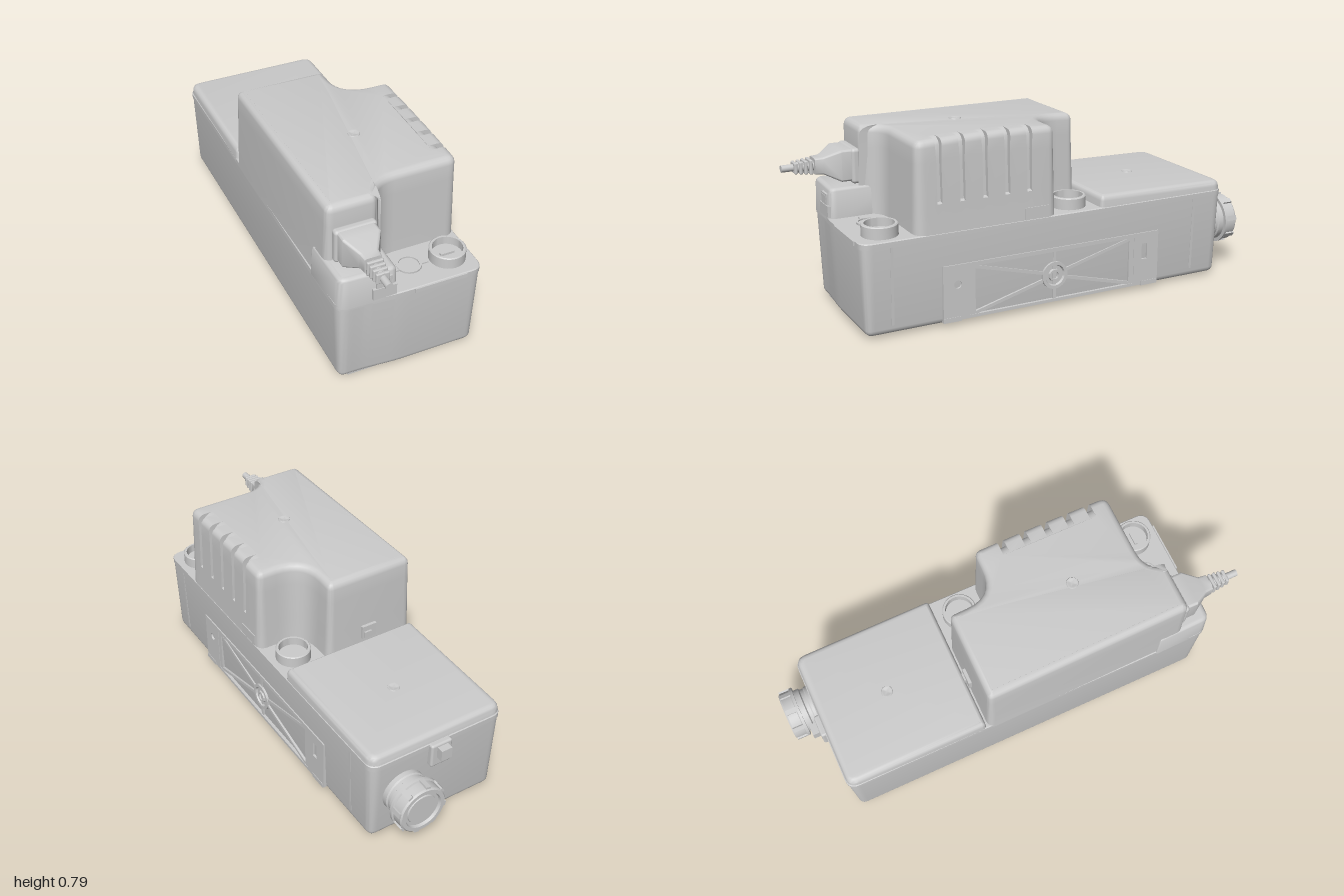
import * as THREE from 'three';
import { toCreasedNormals } from 'three/addons/utils/BufferGeometryUtils.js';
import { RoundedBoxGeometry } from 'three/addons/geometries/RoundedBoxGeometry.js';

const grey = new THREE.MeshStandardMaterial({ color: 0xcccccc, side: THREE.DoubleSide });

// Outline in plan from corners [x, z, radius], running right along the back first
function roundedOutline(corners) {
  const out = [], n = corners.length;
  corners.forEach(([x, z, r], i) => {
    const c = new THREE.Vector2(x, z);
    const toward = (k) => {
      const q = corners[(k + n) % n];
      return new THREE.Vector2(q[0], q[1]).sub(c).setLength(r).add(c);
    };
    if (r === 0) out.push(c);
    else out.push(...new THREE.QuadraticBezierCurve(toward(i - 1), c, toward(i + 1)).getPoints(7));
  });
  return out;
}

// Shrinks an outline by d along its mitred normals
function inset(pts, d) {
  const n = pts.length;
  return pts.map((p, i) => {
    const a = p.clone().sub(pts[(i + n - 1) % n]).normalize();
    const b = pts[(i + 1) % n].clone().sub(p).normalize();
    const n1 = new THREE.Vector2(-a.y, a.x), m = new THREE.Vector2(-b.y, b.x).add(n1).normalize();
    return p.clone().addScaledVector(m, d / Math.max(0.5, m.dot(n1)));
  });
}

// Skin through stacked rings [{ pts, y }], capped at both ends
function loft(rings, heightRule = (x, y) => y) {
  const pos = [], idx = [], n = rings[0].pts.length;
  rings.forEach(({ pts, y }) => pts.forEach((p) => pos.push(p.x, heightRule(p.x, y, p.y), p.y)));
  for (let r = 0; r < rings.length - 1; r++) {
    for (let i = 0; i < n; i++) {
      const a = r * n + i, b = r * n + (i + 1) % n;
      idx.push(a, a + n, b, b, a + n, b + n);
    }
  }
  [[0, -1], [rings.length - 1, 1]].forEach(([r, up]) => {
    const p = rings[r].pts;
    THREE.ShapeUtils.triangulateShape(p.map((v) => v.clone()), []).forEach(([a, b, c]) => {
      const ny = (p[b].y - p[a].y) * (p[c].x - p[a].x) - (p[b].x - p[a].x) * (p[c].y - p[a].y);
      const t = ny * up > 0 ? [a, b, c] : [a, c, b];
      idx.push(...t.map((k) => k + r * n));
    });
  });
  const g = new THREE.BufferGeometry();
  g.setAttribute('position', new THREE.Float32BufferAttribute(pos, 3));
  g.setIndex(idx);
  return toCreasedNormals(g, 0.6);
}

// Quarter-round levels [y, inset] that finish a top edge
const topEdge = (y, r, base) => [0, 1, 2, 3, 4].map((k) => {
  const a = k * Math.PI / 8;
  return [y - r + r * Math.sin(a), base + r * (1 - Math.cos(a))];
});

export function createModel() {
  const model = new THREE.Group();
  const add = (name, geo, x = 0, y = 0, z = 0, parent = model) => {
    const m = new THREE.Mesh(geo, grey);
    m.name = name;
    m.position.set(x, y, z);
    parent.add(m);
    return m;
  };
  const box = (name, w, h, d, x, y, z, parent) => add(name, new THREE.BoxGeometry(w, h, d), x, y, z, parent);
  const lathe = (pts, seg = 40) =>
    toCreasedNormals(new THREE.LatheGeometry(pts.map((p) => new THREE.Vector2(...p)), seg), 0.6);
  const stack = (outline, levels) => levels.map(([y, d]) => ({ pts: inset(outline, d), y }));

  // Tank, tapering down to a rounded base
  const tank = roundedOutline([[-0.317, -0.87, 0.05], [0.315, -0.87, 0.05], [0.315, 0.845, 0.05],
    [-0.05, 0.845, 0.04], [-0.2, 0.832, 0.04], [-0.31, 0.832, 0.05]]);
  const base = topEdge(0, 0.025, 0.015).reverse().map(([y, d]) => [0.012 - y, d]);
  add('tank', loft(stack(tank, [...base, [0.38, 0.003], [0.38, 0], [0.402, 0], [0.406, 0.004]])));

  // Rear lid
  const lid = roundedOutline([[-0.315, -0.868, 0.05], [0.314, -0.868, 0.05], [0.314, -0.232, 0.02], [-0.315, -0.232, 0.02]]);
  add('rearLid', loft(stack(lid, [[0.39, 0], ...topEdge(0.458, 0.025, 0.003)]),
    (x, y, z) => (y > 0.42 ? y + 0.02 * (z + 0.23) : y)));

  // Pump cover with cut-back corners and five cooling slots
  const cover = roundedOutline([[-0.318, -0.225, 0.035], [0.1, -0.225, 0.035], [0.1, -0.018, 0.12],
    [0.314, -0.018, 0.04], [0.314, 0.617, 0.05], [-0.07, 0.617, 0.1], [-0.075, 0.703, 0.035], [-0.305, 0.703, 0.04]]);
  const slotRing = (d, depth, half) => {
    const pts = inset(cover, d);
    const i = pts.findIndex((p, k) => p.x > 0.2 && pts[k + 1] && pts[k + 1].y - p.y > 0.3);
    const x = pts[i].x, slots = [];
    for (let z = 0.11; z < 0.52; z += 0.1) {
      slots.push([x, z - half], [x - depth, z - half], [x - depth, z + half], [x, z + half]);
    }
    pts.splice(i + 1, 0, ...slots.map((s) => new THREE.Vector2(...s)));
    return pts;
  };
  const coverLevels = [[0.39, 0, 0], [0.525, 0.004, 0], [0.53, 0.004, 0.018], [0.7, 0.009, 0.022],
    ...topEdge(0.791, 0.03, 0.01).map(([y, d], k) => [y, d, 0.026 + 0.004 * k])];
  add('pumpCover', loft(coverLevels.map(([y, d, s]) => ({ y, pts: slotRing(d, s, 0.011 + (y > 0.74 ? 0.003 : 0)) })),
    (x, y, z) => (y > 0.6 ? y - 0.07 * (z - 0.27) ** 2 : y)));
  box('sideWindowFrame', 0.008, 0.05, 0.11, 0.312, 0.431, 0.077);
  box('rearClip', 0.07, 0.06, 0.02, -0.1, 0.485, -0.225);
  box('rearClipTab', 0.035, 0.03, 0.03, -0.09, 0.475, -0.228);

  // Raised column under the power inlet, with its latch
  const column = roundedOutline([[-0.315, 0.58, 0.01], [-0.058, 0.58, 0.01], [-0.058, 0.842, 0.035], [-0.308, 0.832, 0.045]]);
  add('inletColumn', loft(stack(column, [[0.39, 0], ...topEdge(0.532, 0.02, 0.005)])));
  box('latchBase', 0.1, 0.05, 0.014, -0.12, 0.435, 0.84);
  box('latch', 0.066, 0.05, 0.012, -0.122, 0.482, 0.838);
  box('latchKey', 0.05, 0.03, 0.016, -0.122, 0.485, 0.838);

  // Power inlet, tapered plug, strain relief and cable
  const plug = new THREE.Group();
  plug.name = 'powerPlug';
  plug.position.set(-0.185, 0.611, 0);
  model.add(plug);
  add('inletFrame', new RoundedBoxGeometry(0.18, 0.15, 0.04, 3, 0.015), 0, -0.004, 0.705, plug);
  const sections = [[0.71, 0.08, 0.067], [0.765, 0.08, 0.067], [0.83, 0.04, 0.036], [0.865, 0.036, 0.034]];
  const plugBody = loft(sections.map(([y, w, h]) => ({
    y, pts: roundedOutline([[-w, -h, 0.012], [w, -h, 0.012], [w, h, 0.012], [-w, h, 0.012]]) })));
  add('plugBody', plugBody, 0, 0, 0, plug).rotation.x = Math.PI / 2;
  for (let i = 0; i < 4; i++) {
    add('strainRelief', new RoundedBoxGeometry(0.068 - i * 0.004, 0.062 - i * 0.005, 0.014, 2, 0.005), 0, 0, 0.88 + i * 0.021, plug);
  }
  add('reliefCore', new THREE.CylinderGeometry(0.022, 0.022, 0.1, 20), 0, 0, 0.9, plug).rotation.x = Math.PI / 2;
  add('cable', new THREE.CylinderGeometry(0.015, 0.015, 0.14, 20), 0, 0, 0.93, plug).rotation.x = Math.PI / 2;
  box('inletTab', 0.05, 0.018, 0.05, -0.208, 0.526, 0.73);

  // Open ports on the deck and the flat plug beside the front one
  [[0.73, true], [-0.127, false]].forEach(([z, slotted]) => {
    add('port', lathe([[0.075, 0.39], [0.075, 0.452], [0.071, 0.456], [0.062, 0.456], [0.062, 0.42], [0, 0.42]]), 0.213, 0, z);
    if (slotted) box('portSlot', 0.06, 0.012, 0.012, 0.213, 0.424, z);
  });
  add('deckPlug', lathe([[0.052, 0.4], [0.052, 0.414], [0.042, 0.414], [0.042, 0.408], [0, 0.408]]), 0.05, 0, 0.715);
  for (const s of [-1, 1]) box('deckPlugTab', 0.03, 0.012, 0.035, 0.05 + s * 0.064, 0.406, 0.715);
  box('frontLip', 0.23, 0.018, 0.01, 0.125, 0.394, 0.846);

  // Mounting bracket: framed plate, diagonal ribs and hub on the left side
  const bracket = new THREE.Group();
  bracket.name = 'mountingBracket';
  bracket.position.set(0.291, 0, 0);
  bracket.rotation.y = Math.PI / 2; // local x runs toward -z
  model.add(bracket);
  const rect = (Kind, x0, y0, x1, y1) => new Kind([[x0, y0], [x1, y0], [x1, y1], [x0, y1]].map((p) => new THREE.Vector2(...p)));
  const plate = rect(THREE.Shape, -0.505, 0.022, 0.53, 0.262);
  plate.holes.push(rect(THREE.Path, -0.385, 0.035, 0.405, 0.245), rect(THREE.Path, 0.445, 0.14, 0.473, 0.212));
  plate.holes.push(new THREE.Path().absarc(-0.44, 0.177, 0.017, 0, Math.PI * 2));
  add('bracketPlate', new THREE.ExtrudeGeometry(plate, { depth: 0.022, bevelEnabled: false }), 0, 0, 0, bracket);
  for (const sx of [-1, 1]) {
    for (const sy of [-1, 1]) {
      box('diagonalRib', 0.37, 0.014, 0.02, 0.01 + sx * 0.225, 0.14 + sy * 0.062, 0.01, bracket)
        .rotation.z = sx * sy * Math.atan2(0.09, 0.34);
    }
    box('endRib', 0.025, 0.21, 0.02, 0.01 + sx * 0.383, 0.14, 0.01, bracket);
    box('footTab', 0.08, 0.02, 0.024, 0.01 + sx * 0.475, 0.028, 0.012, bracket);
  }
  box('verticalRib', 0.014, 0.21, 0.018, 0.01, 0.14, 0.009, bracket);
  add('hub', lathe([[0.06, 0], [0.06, 0.024], [0.046, 0.024], [0.042, 0.014], [0.028, 0.014], [0.026, 0.024],
    [0.017, 0.024], [0.017, 0.005], [0, 0.005]]), 0.01, 0.14, 0, bracket).rotation.x = Math.PI / 2;

  // Slim upright ribs beside the bracket
  for (const z of [0.72, -0.715]) box('sideRib', 0.01, 0.33, 0.012, 0.303, 0.215, z).rotation.z = -0.033;

  // Screw cap on the rear outlet
  const outlet = new THREE.Group();
  outlet.name = 'rearOutlet';
  outlet.position.set(0.155, 0.217, -0.85);
  outlet.rotation.x = -Math.PI / 2;
  model.add(outlet);
  add('neck', lathe([[0.095, 0], [0.095, 0.035], [0.09, 0.04], [0.09, 0.055], [0.097, 0.06], [0.097, 0.09]]), 0, 0, 0, outlet);
  add('cap', lathe([[0, 0.085], [0.113, 0.085], [0.113, 0.097], [0.106, 0.1], [0.106, 0.143], [0.1, 0.15], [0.084, 0.15],
    [0.08, 0.138], [0.068, 0.138], [0.066, 0.144], [0, 0.144]]), 0, 0, 0, outlet);
  for (let i = 0; i < 8; i++) {
    const a = i * Math.PI / 4 + 0.2;
    box('gripRib', 0.018, 0.05, 0.022, 0.104 * Math.cos(a), 0.12, 0.104 * Math.sin(a), outlet).rotation.y = -a;
  }

  // Rear connector
  add('rearConnector', new RoundedBoxGeometry(0.1, 0.11, 0.04, 2, 0.01), -0.005, 0.35, -0.87);
  box('connectorSocket', 0.05, 0.05, 0.06, -0.005, 0.368, -0.89);

  // Moulding marks on the cover, lid and base
  const mark = lathe([[0.026, 0], [0.024, 0.004], [0.018, 0.004], [0.012, 0.001], [0, 0.001]], 24);
  add('coverMark', mark, 0, 0.789, 0.3);
  add('lidMark', mark, 0, 0.451, -0.56);
  add('baseMark', mark, 0, 0.013, 0).rotation.x = Math.PI;

  // Six square feet
  const foot = rect(THREE.Shape, -0.06, -0.06, 0.06, 0.06);
  foot.holes.push(rect(THREE.Path, -0.052, -0.052, 0.052, 0.052));
  const footGeo = new THREE.ExtrudeGeometry(foot, { depth: 0.016, bevelEnabled: false });
  for (const x of [-0.19, 0.175]) {
    for (const z of [-0.74, -0.01, 0.74]) {
      add('foot', footGeo, x, 0.016, z).rotation.x = Math.PI / 2;
      box('footPad', 0.11, 0.01, 0.11, x, 0.009, z);
    }
  }
  return model;
}
